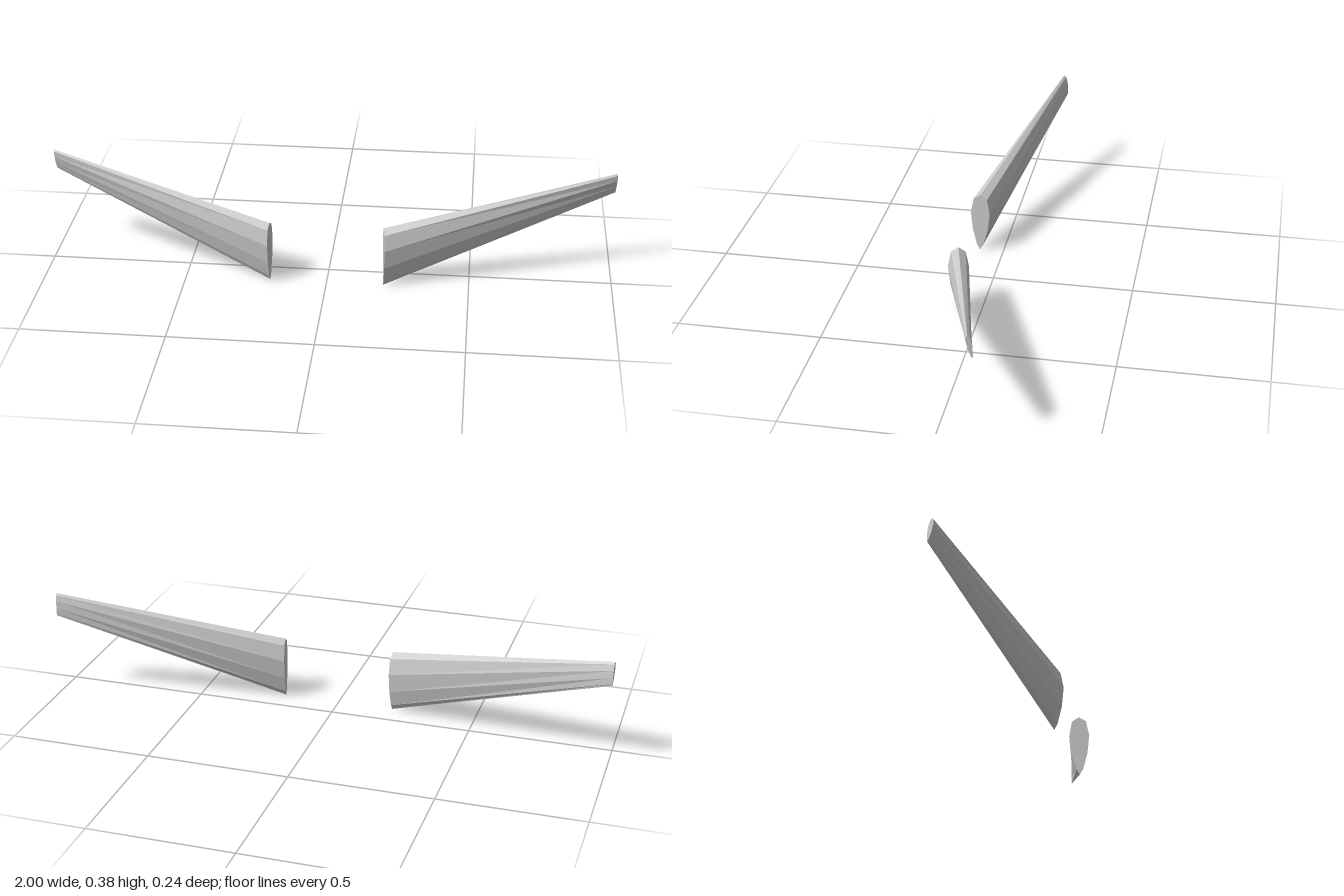
import * as THREE from 'three';

// Aerofoil section: [height along the chord 0..1, half thickness 0..1]
const SECTION = [[1, 0], [0.925, 0.7], [0.67, 1], [0.36, 0.78], [0.09, 0.33], [0, 0]];
// Front of the section from top to bottom, then the back from bottom to top
const LOOP = [
  ...SECTION,
  ...SECTION.slice(1, -1).reverse().map(([h, t]) => [h, -t]),
];

// Stations of the left wing: x, bottom and top of the chord, half thickness
const ROOT = { x: 0.2, yBottom: 0, yTop: 0.225, zBottom: 0.087, zTop: 0.085, half: 0.036 };
const TIP = { x: 0.998, yBottom: 0.3, yTop: 0.38, zBottom: -0.12, zTop: -0.105, half: 0.0085 };
const CUT = 0.15; // end faces lean with the sweep

function ring(s, side) {
  const mid = (s.zBottom + s.zTop) / 2;
  return LOOP.map(([h, t]) => {
    const z = THREE.MathUtils.lerp(s.zBottom, s.zTop, h) + t * s.half;
    const y = THREE.MathUtils.lerp(s.yBottom, s.yTop, h);
    return new THREE.Vector3(side * (s.x + CUT * (z - mid)), y, z);
  });
}

// Straight loft from root to tip, closed at both ends
function wingGeometry(side) {
  const a = ring(ROOT, side), b = ring(TIP, side), n = LOOP.length;
  const centre = (r) => r.reduce((c, p) => c.add(p), new THREE.Vector3()).divideScalar(n);
  const ca = centre(a), cb = centre(b);
  const pos = [];
  const tri = (p, q, r) => {
    for (const v of side > 0 ? [p, q, r] : [p, r, q]) pos.push(v.x, v.y, v.z);
  };
  for (let i = 0; i < n; i++) {
    const j = (i + 1) % n;
    tri(a[i], a[j], b[j]);
    tri(a[i], b[j], b[i]);
    tri(ca, a[j], a[i]);
    tri(cb, b[i], b[j]);
  }
  const g = new THREE.BufferGeometry();
  g.setAttribute('position', new THREE.Float32BufferAttribute(pos, 3));
  g.computeVertexNormals();
  return g;
}

export function createModel() {
  const group = new THREE.Group();
  group.name = 'wingPair';
  const material = new THREE.MeshStandardMaterial({ color: 0xcccccc, flatShading: true });
  for (const [name, side] of [['leftWing', 1], ['rightWing', -1]]) {
    const wing = new THREE.Mesh(wingGeometry(side), material);
    wing.name = name;
    group.add(wing);
  }
  return group;
}
